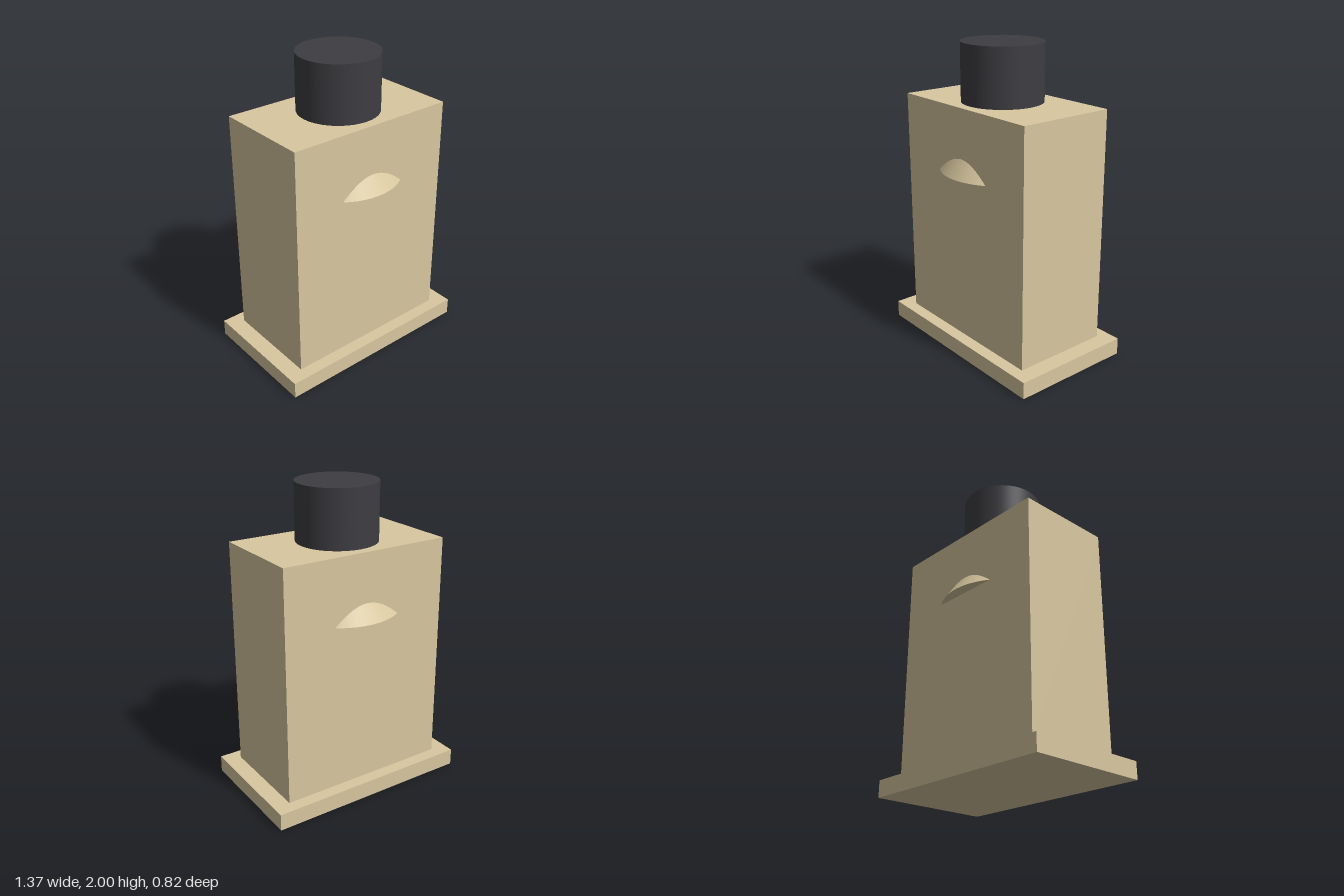
import * as THREE from 'three';

export function createModel() {
  const group = new THREE.Group();
  const tan = new THREE.MeshStandardMaterial({ color: 0xd9c8a0 });
  const dark = new THREE.MeshStandardMaterial({ color: 0x3e3d42 });

  // Adds a part whose underside sits at height y
  const add = (name, geometry, material, y, height) => {
    const mesh = new THREE.Mesh(geometry, material);
    mesh.name = name;
    mesh.position.y = y + height / 2;
    group.add(mesh);
  };

  // Wide flat plinth and the upright block on it
  add('base', new THREE.BoxGeometry(1.37, 0.11, 0.816), tan, 0, 0.11);
  add('body', new THREE.BoxGeometry(1.15, 1.52, 0.652), tan, 0.11, 1.52);

  // Cone inside the body, its rim showing as a hood on the front and back
  add('hood', new THREE.ConeGeometry(0.4, 0.6, 64), tan, 1.2, 0.6);

  // Round cap on top
  add('cap', new THREE.CylinderGeometry(0.26, 0.26, 0.37, 64), dark, 1.63, 0.37);

  return group;
}
